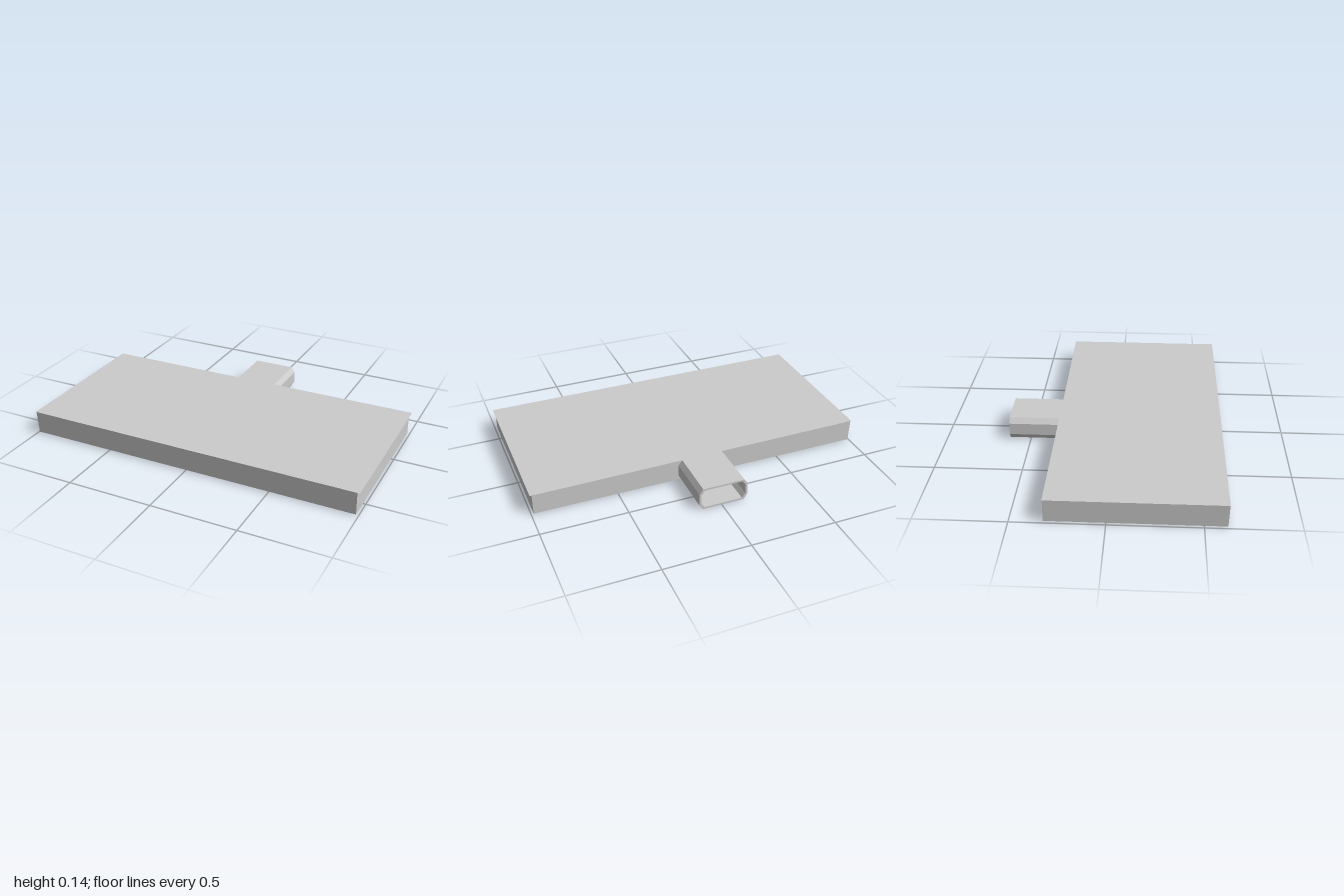
import * as THREE from 'three';

const material = new THREE.MeshStandardMaterial({
  color: 0xcccccc, flatShading: true, side: THREE.DoubleSide,
});

function addMesh(group, name, geometry) {
  const mesh = new THREE.Mesh(geometry, material);
  mesh.name = name;
  group.add(mesh);
  return mesh;
}

// Thin four-cornered sheet
function sheet(a, b, c, d) {
  const g = new THREE.BufferGeometry();
  g.setAttribute('position', new THREE.Float32BufferAttribute([a, b, c, a, c, d].flat(), 3));
  g.computeVertexNormals();
  return g;
}

// Flattened octagon: half width w, half height h, chamfer cx by cy
function octagon(Type, w, h, cx, cy) {
  const points = [
    [w, cy - h], [w, h - cy], [w - cx, h], [cx - w, h],
    [-w, h - cy], [-w, cy - h], [cx - w, -h], [w - cx, -h],
  ];
  return new Type(points.map(([x, y]) => new THREE.Vector2(x, y)));
}

export function createModel() {
  const model = new THREE.Group();
  model.name = 'openTrayWithSpout';

  // Top sheet, overhanging the walls slightly, with a skewed back edge
  const top = 0.138;
  addMesh(model, 'topPlate', sheet(
    [-1, top, 0.623], [1, top, 0.623], [1, top, -0.335], [-1, top, -0.323]));

  // Thin side walls, open underneath
  const upper = [[-0.995, 0.623], [0.987, 0.623], [0.987, -0.322], [-0.995, -0.322]];
  const lower = [[-0.99, 0.62], [0.987, 0.62], [0.987, -0.322], [-0.99, -0.322]];
  ['frontWall', 'leftWall', 'backWall', 'rightWall'].forEach((name, i) => {
    const j = (i + 1) % 4;
    const at = ([x, z], y) => [x, y, z];
    addMesh(model, name, sheet(
      at(lower[i], 0.006), at(lower[j], 0.006), at(upper[j], top), at(upper[i], top)));
  });

  // Hollow chamfered spout at the back
  const section = octagon(THREE.Shape, 0.145, 0.067, 0.022, 0.032);
  section.holes.push(octagon(THREE.Path, 0.133, 0.056, 0.02, 0.028));
  const spout = addMesh(model, 'spout',
    new THREE.ExtrudeGeometry(section, { depth: 0.303, bevelEnabled: false }));
  spout.position.set(-0.01, 0.067, -0.625);

  return model;
}
